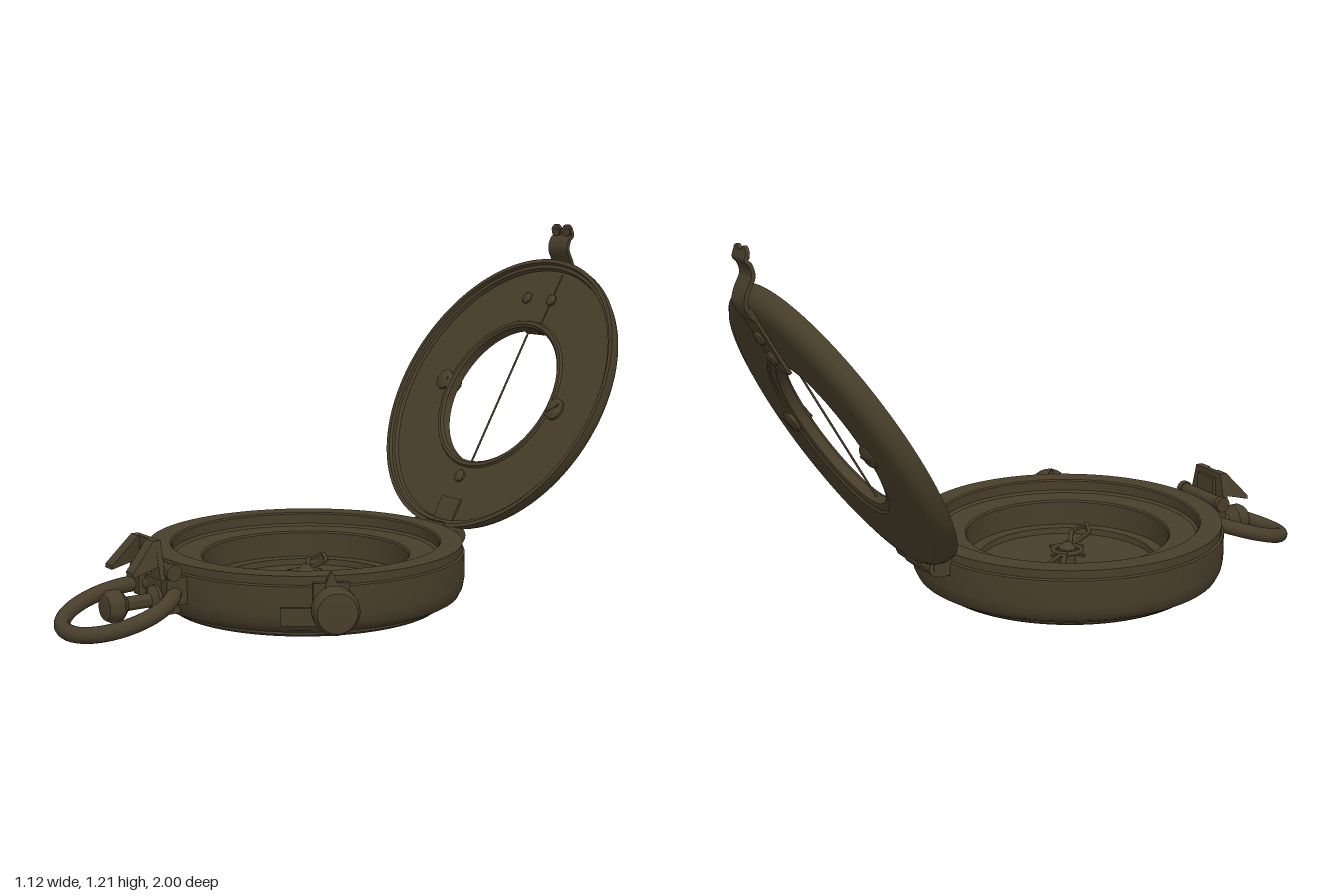
import * as THREE from 'three';
import { toCreasedNormals } from 'three/addons/utils/BufferGeometryUtils.js';

const olive = new THREE.MeshStandardMaterial({ color: 0x483e2a });
olive.name = 'darkOlive';

function add(parent, name, geo, pos = [0, 0, 0], rot = [0, 0, 0]) {
  const m = new THREE.Mesh(geo, olive);
  m.name = name;
  m.position.set(...pos);
  m.rotation.set(...rot);
  parent.add(m);
  return m;
}
function group(parent, name, pos) {
  const g = new THREE.Group();
  g.name = name;
  g.position.set(...pos);
  parent.add(g);
  return g;
}
const vec = (pts) => pts.map((p) => new THREE.Vector2(...p));
const lathe = (pts, seg = 96) => toCreasedNormals(new THREE.LatheGeometry(vec(pts), seg), 0.6);
const cyl = (r, h, seg = 24) => new THREE.CylinderGeometry(r, r, h, seg);
const box = (x, y, z) => new THREE.BoxGeometry(x, y, z);
// Extrudes a (z, y) outline along x, centred on x = 0
function sideExtrude(pts, width) {
  const g = new THREE.ExtrudeGeometry(new THREE.Shape(vec(pts)), { depth: width, bevelEnabled: false });
  return g.translate(0, 0, -width / 2).rotateY(-Math.PI / 2);
}
// Shallow domed head whose axis is +y
const dome = (r, h) => lathe([[0, -h], [r, -h], [r, h * 0.3], [r * 0.75, h * 0.8], [0, h]], 24);

function buildBody(root) {
  const body = group(root, 'body', [0, 0, 0.12]);
  // Dished case with a stepped underside and a ledge inside
  add(body, 'case', lathe([
    [0, 0.004], [0.1, 0.004], [0.105, 0.012], [0.28, 0.012], [0.285, 0], [0.44, 0], [0.45, 0.008],
    [0.45, 0.022], [0.475, 0.022], [0.5, 0.036], [0.512, 0.06], [0.517, 0.09], [0.517, 0.172],
    [0.51, 0.176], [0.51, 0.203], [0.44, 0.203], [0.435, 0.198], [0.435, 0.165], [0.425, 0.158],
    [0.34, 0.158], [0.335, 0.152], [0.335, 0.07], [0.295, 0.07], [0.292, 0.05], [0, 0.05]]));
  // Needle: two pierced spear points and a pivot
  const needle = group(body, 'needle', [0, 0.088, 0]);
  const s = new THREE.Shape(vec([[0.045, -0.012], [0.19, -0.038], [0.29, -0.004], [0.29, 0.004], [0.19, 0.038], [0.045, 0.012]]));
  s.holes.push(new THREE.Path(vec([[0.07, 0], [0.19, 0.024], [0.262, 0], [0.19, -0.024]])));
  const spear = new THREE.ExtrudeGeometry(s, { depth: 0.008, bevelEnabled: false }).rotateX(-Math.PI / 2);
  for (let i = 0; i < 2; i++) add(needle, 'needlePoint', spear, [0, 0, 0], [0, -Math.PI * 0.254 + i * Math.PI, 0]);
  add(needle, 'pivotRing', new THREE.TorusGeometry(0.047, 0.008, 8, 32), [0, 0.005, 0], [Math.PI / 2, 0, 0]);
  add(needle, 'pivotCap', lathe([[0, -0.038], [0.03, -0.038], [0.03, 0.012], [0.018, 0.025], [0.008, 0.035], [0, 0.035]], 24));
  for (let i = 0; i < 4; i++) {
    const a = i * Math.PI / 2 + 0.3;
    add(needle, 'pivotArm', box(0.05, 0.008, 0.014), [0.05 * Math.cos(a), 0, -0.05 * Math.sin(a)], [0, a, 0]);
  }
  // Side knob with its bracket, pointing outward
  const knob = group(body, 'sideKnob', [0, 0.12, 0]);
  knob.rotation.y = -0.445;
  const head = lathe([[0, 0.5], [0.032, 0.5], [0.032, 0.55], [0.045, 0.553], [0.066, 0.565],
    [0.07, 0.58], [0.07, 0.62], [0.06, 0.638], [0, 0.642]], 40);
  add(knob, 'knobHead', head, [0, 0, 0], [0, 0, -Math.PI / 2]);
  add(knob, 'knobPlate', box(0.022, 0.13, 0.11), [0.515, 0, 0]);
  add(knob, 'knobFin', sideExtrude([[-0.02, 0.05], [0.02, 0.05], [0.012, 0.08], [0, 0.1], [-0.012, 0.08]], 0.018), [0.52, 0, 0]);
  add(knob, 'knobTab', box(0.018, 0.055, 0.13), [0.508, -0.038, 0.085], [0, -0.17, 0]);
}

function buildLid(root) {
  const lid = group(root, 'lid', [0, 0.635, -0.67]);
  lid.rotation.x = -Math.PI / 6;
  add(lid, 'lidRing', lathe([
    [0.26, -0.06], [0.268, -0.064], [0.285, -0.064], [0.29, -0.07], [0.455, -0.07], [0.485, -0.063], [0.505, -0.048],
    [0.516, -0.025], [0.517, 0], [0.503, 0], [0.5, -0.012], [0.488, -0.014], [0.484, -0.028],
    [0.285, -0.028], [0.28, -0.02], [0.268, -0.02], [0.26, -0.028], [0.26, -0.06]]),
  [0, 0, 0], [Math.PI / 2, 0, 0]);
  add(lid, 'sightHair', cyl(0.0035, 0.54, 8), [0, 0, -0.04]);
  // Slotted screws holding the window, seen on both faces
  for (const [x, y, turn] of [[-0.31, 0.02, 0.1], [0.305, -0.025, 0.6]]) {
    for (const side of [1, -1]) {
      const screw = group(lid, 'windowScrew', [x, y, side > 0 ? -0.024 : -0.072]);
      add(screw, 'screwHead', dome(0.038, 0.012), [0, 0, 0], [side * Math.PI / 2, 0, 0]);
      add(screw, 'screwSlot', box(0.055, 0.007, 0.004), [0, 0, side * 0.0115], [0, 0, turn]);
    }
  }
  // Small studs and the inlaid plate
  add(lid, 'lowerStud', dome(0.022, 0.009), [-0.01, -0.322, -0.024], [Math.PI / 2, 0, 0]);
  for (const x of [-0.063, 0.063]) add(lid, 'plateStud', dome(0.021, 0.009), [x, 0.37, -0.024], [Math.PI / 2, 0, 0]);
  add(lid, 'innerPlate', box(0.125, 0.19, 0.005), [0, 0.375, -0.027]);
  // Spring strip on the outer face
  add(lid, 'springStrip', box(0.1, 0.235, 0.012), [0, 0.375, -0.074]);
  for (const y of [0.31, 0.385]) add(lid, 'stripRivet', dome(0.024, 0.011), [0, y, -0.084], [-Math.PI / 2, 0, 0]);
}

function buildCatch(root) {
  // Wavy finger catch rising past the lid edge
  const curve = new THREE.SplineCurve(vec([[-0.965, 0.99], [-0.99, 1.03], [-0.985, 1.07],
    [-0.965, 1.115], [-0.972, 1.15], [-0.985, 1.165], [-0.978, 1.19]]));
  const near = [], far = [];
  for (let i = 0; i <= 32; i++) {
    const p = curve.getPoint(i / 32), t = curve.getTangent(i / 32);
    near.push([p.x + t.y * 0.006, p.y - t.x * 0.006]);
    far.unshift([p.x - t.y * 0.006, p.y + t.x * 0.006]);
  }
  add(root, 'fingerCatch', toCreasedNormals(sideExtrude([...near, ...far], 0.098), 0.6));
  for (const x of [-0.027, 0.027]) add(root, 'catchTip', cyl(0.021, 0.012), [x, 1.184, -0.979], [Math.PI / 2, 0, 0]);
}

function buildHinge(root) {
  const hinge = group(root, 'hinge', [0, 0.165, -0.425]);
  const along = [0, 0, Math.PI / 2];
  add(hinge, 'hingePin', cyl(0.016, 0.24), [0, 0, 0], along);
  add(hinge, 'lidKnuckle', cyl(0.034, 0.1), [0, 0, 0], along);
  add(hinge, 'lidLeaf', box(0.1, 0.12, 0.03), [0, 0.05, -0.045], [-Math.PI / 6, 0, 0]);
  for (const x of [-0.085, 0.085]) {
    add(hinge, 'caseKnuckle', cyl(0.03, 0.064), [x, 0, 0], along);
    add(hinge, 'caseLeaf', box(0.064, 0.055, 0.07), [x, -0.005, 0.035]);
  }
}

function buildClasp(root) {
  const clasp = group(root, 'sightClasp', [0, 0, 0]);
  const along = [0, 0, Math.PI / 2];
  // Barrel with end collars
  add(clasp, 'claspBarrel', cyl(0.021, 0.23), [0, 0.19, 0.675], along);
  for (const x of [-0.108, 0.108]) add(clasp, 'barrelCollar', cyl(0.026, 0.02), [x, 0.19, 0.675], along);
  // Upright plate with an arched sight hole
  const s = new THREE.Shape(vec([[-0.1, 0.168], [0.1, 0.168], [0.07, 0.285], [-0.07, 0.285]]));
  const arch = new THREE.Path();
  arch.moveTo(-0.04, 0.175);
  arch.lineTo(-0.04, 0.22);
  arch.absarc(0, 0.22, 0.04, Math.PI, 0, true);
  arch.lineTo(0.04, 0.175);
  s.holes.push(arch);
  add(clasp, 'sightPlate', new THREE.ExtrudeGeometry(s, { depth: 0.018, bevelEnabled: false, curveSegments: 16 }), [0, 0, 0.695]);
  add(clasp, 'archBacking', box(0.09, 0.1, 0.012), [0, 0.215, 0.69]);
  for (const x of [-1, 1]) {
    // Wedge cheeks that lean in toward the top
    const cheek = sideExtrude([[0.705, 0.21], [0.8, 0.185], [0.8, 0.198], [0.72, 0.285], [0.705, 0.285]], 0.045);
    const p = cheek.attributes.position;
    for (let i = 0; i < p.count; i++) p.setX(i, p.getX(i) - x * (p.getY(i) - 0.185) * 0.22);
    cheek.computeVertexNormals();
    add(clasp, 'sightCheek', cheek, [x * 0.07, 0, 0]);
    add(clasp, 'claspLug', box(0.034, 0.085, 0.07), [x * 0.09, 0.128, 0.66]);
  }
  add(clasp, 'claspBlock', box(0.13, 0.12, 0.05), [0, 0.108, 0.65]);
  // Thumb stud pointing forward
  const stud = lathe([[0, 0], [0.045, 0], [0.045, 0.03], [0.022, 0.045], [0.022, 0.125], [0.035, 0.135],
    [0.05, 0.15], [0.05, 0.18], [0.04, 0.197], [0, 0.203]], 32);
  add(clasp, 'thumbStud', stud, [0, 0.085, 0.655], [Math.PI / 2, 0, 0]);
}

export function createModel() {
  const model = new THREE.Group();
  model.name = 'pocketCompass';
  const root = group(model, 'compass', [-0.044, 0, 0]);
  buildBody(root);
  buildLid(root);
  buildCatch(root);
  buildHinge(root);
  buildClasp(root);
  // Carrying ring, tilted down at the front
  add(root, 'carryRing', new THREE.TorusGeometry(0.174, 0.025, 16, 64), [0, 0.077, 0.807], [Math.PI / 2 + 0.29, 0, 0]);
  return model;
}
